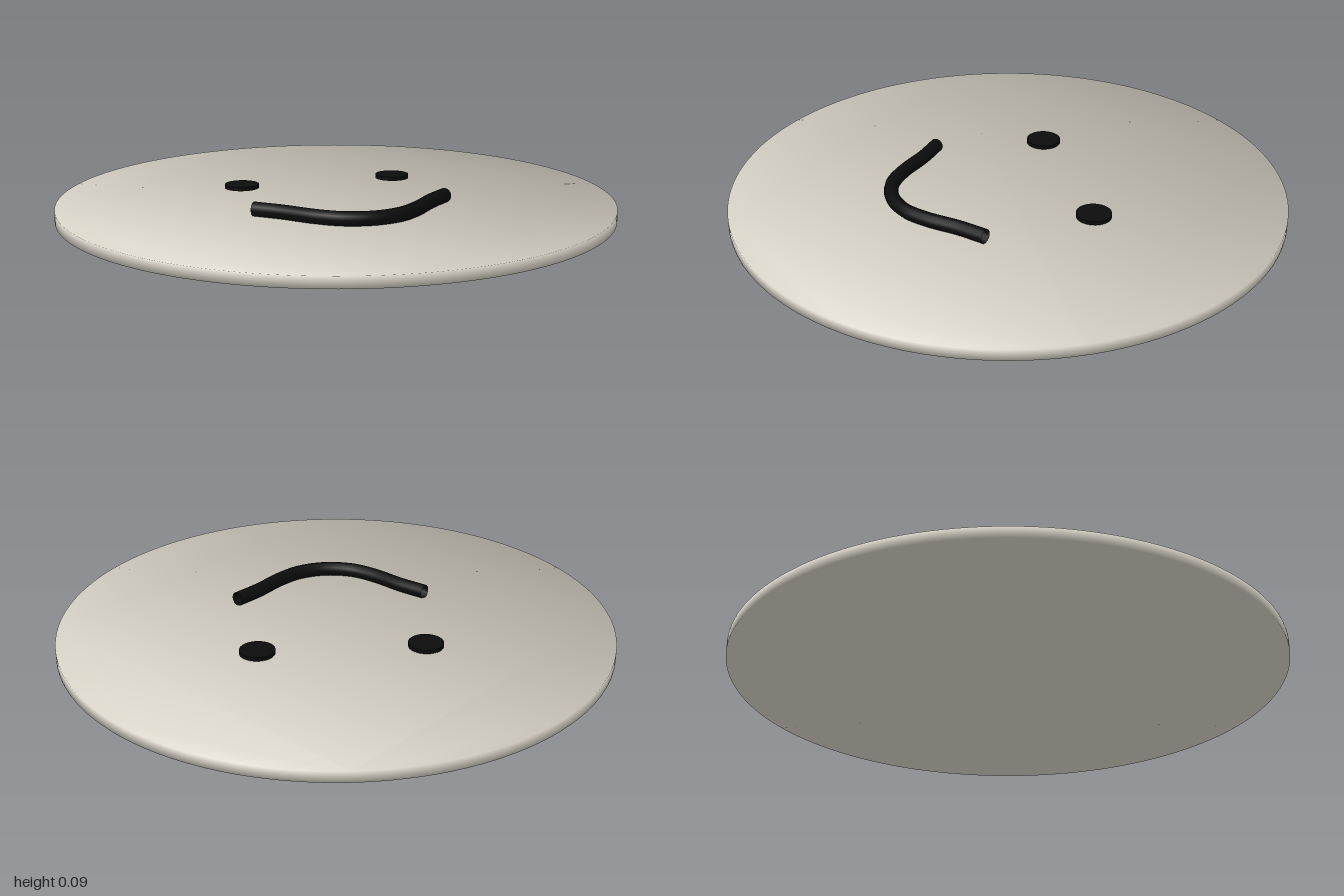
import * as THREE from 'three';

const stone = new THREE.MeshStandardMaterial({ color: 0xd6d1c5 });
stone.name = 'warm grey';
const black = new THREE.MeshStandardMaterial({ color: 0x0c0c0c, side: THREE.DoubleSide });
black.name = 'black';

const THICKNESS = 0.04;

// Flat round plate whose normals lean outward at the rim, so it shades softly
function plateGeometry() {
  const outline = new THREE.Shape().absarc(0, 0, 1, 0, Math.PI * 2, false);
  const geo = new THREE.ExtrudeGeometry(outline, { depth: THICKNESS, bevelEnabled: false, curveSegments: 128 });
  geo.rotateX(-Math.PI / 2);
  const pos = geo.attributes.position;
  const n = new THREE.Vector3();
  for (let i = 0; i < pos.count; i++) {
    n.set(pos.getX(i), pos.getY(i) > THICKNESS / 2 ? 1 : -1, pos.getZ(i)).normalize();
    geo.attributes.normal.setXYZ(i, n.x, n.y, n.z);
  }
  return geo;
}

// Open-ended tube along a mirrored smile curve
function smileGeometry() {
  const half = [[0.35, 0.18], [0.27, 0.25], [0.18, 0.345], [0.1, 0.403]];
  const points = [
    ...half.map(([x, z]) => [-x, z]),
    [0, 0.425],
    ...half.slice().reverse(),
  ].map(([x, z]) => new THREE.Vector3(x, 0.066, z));
  return new THREE.TubeGeometry(new THREE.CatmullRomCurve3(points), 48, 0.026, 12, false);
}

export function createModel() {
  const model = new THREE.Group();
  model.name = 'smilingDisc';
  const add = (name, geometry, material) => {
    const mesh = new THREE.Mesh(geometry, material);
    mesh.name = name;
    model.add(mesh);
    return mesh;
  };

  add('facePlate', plateGeometry(), stone);
  add('mouth', smileGeometry(), black);

  // Thin eye discs hovering just above the plate
  for (const [name, side] of [['leftEye', 1], ['rightEye', -1]]) {
    add(name, new THREE.CylinderGeometry(0.063, 0.063, 0.014, 32), black)
      .position.set(side * 0.294, 0.056, -0.226);
  }
  return model;
}
